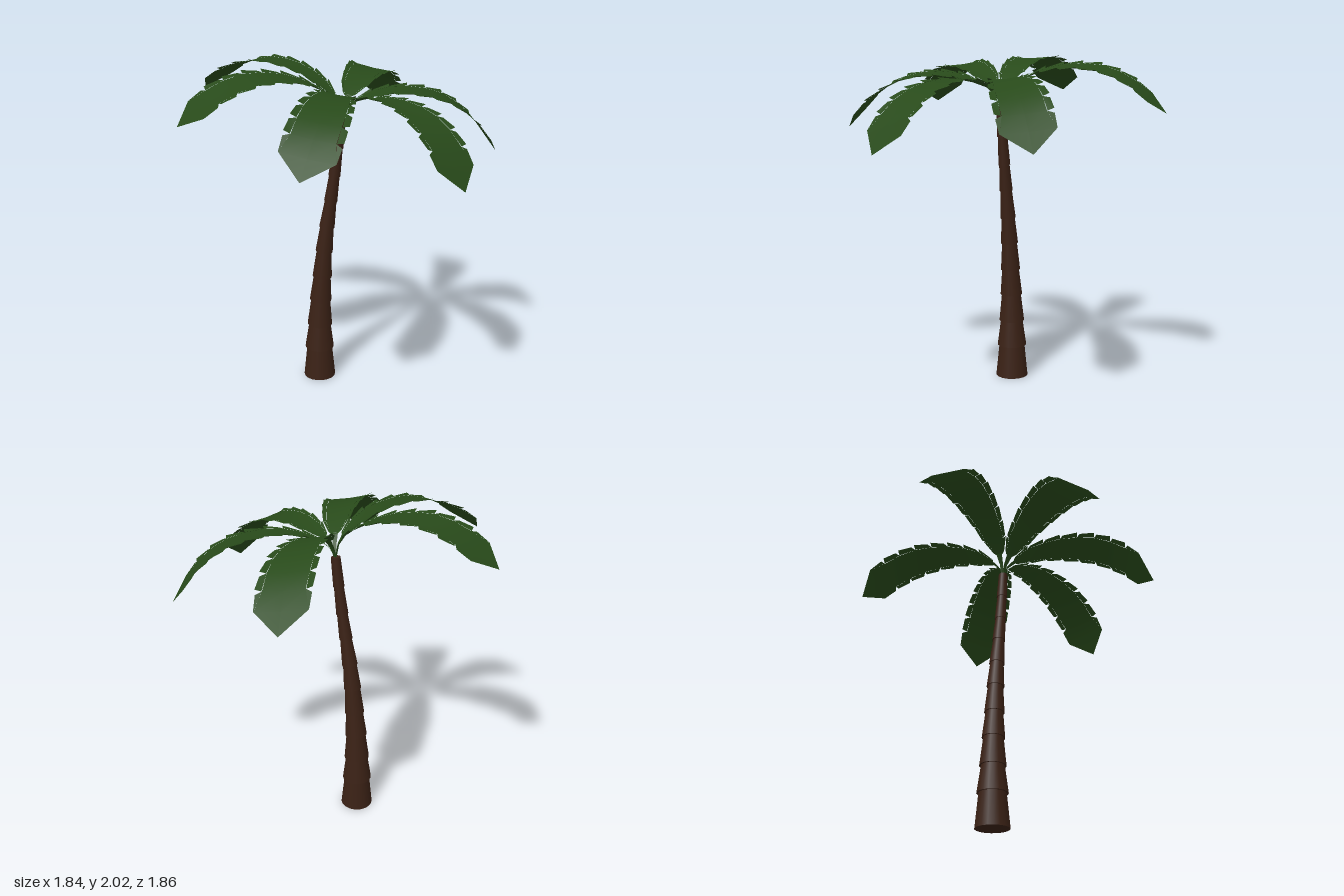
import * as THREE from 'three';

const bark = new THREE.MeshStandardMaterial({ color: 0x3a2115 });
const leaf = new THREE.MeshStandardMaterial({ color: 0x284a1a, side: THREE.DoubleSide });

// Trunk: overlapping tapered rings following a leaning path; each row is [x, y, radius]
function makeTrunk() {
  const trunk = new THREE.Group();
  trunk.name = 'trunk';
  const rings = [
    [-0.12, 0, 0.1], [-0.12, 0.2, 0.091], [-0.117, 0.36, 0.078], [-0.11, 0.53, 0.068],
    [-0.098, 0.69, 0.06], [-0.083, 0.86, 0.053], [-0.063, 1.02, 0.047], [-0.036, 1.19, 0.04],
    [-0.011, 1.35, 0.036], [0.012, 1.52, 0.033], [0.032, 1.695, 0.031],
  ];
  for (let i = 0; i < rings.length - 1; i++) {
    const [x0, y0, r0] = rings[i];
    const [x1, y1, r1] = rings[i + 1];
    const dir = new THREE.Vector3(x1 - x0, y1 - y0, 0);
    const top = i === rings.length - 2 ? r1 * 0.9 : r1 * 0.87;
    const ring = new THREE.Mesh(new THREE.CylinderGeometry(top, r0, dir.length() + 0.004, 18), bark);
    ring.position.set((x0 + x1) / 2, (y0 + y1) / 2 + 0.002, 0.013);
    ring.quaternion.setFromUnitVectors(new THREE.Vector3(0, 1, 0), dir.normalize());
    ring.name = 'trunkRing';
    trunk.add(ring);
  }
  return trunk;
}

// Frond pointing along +x: stem, two rows of blade strips, slit teeth along the edges, pointed end
function makeFrondGeometry() {
  const pos = [];
  const index = [];
  const vert = (x, y, z) => pos.push(x, y, z) / 3 - 1;
  const quad = (a, b, c, d) => index.push(a, b, c, a, c, d);

  // x = reach, y = height, z = half width
  const curve = new THREE.CatmullRomCurve3([
    [0.07, 0.012, 0.03], [0.14, 0.05, 0.072], [0.22, 0.083, 0.09], [0.333, 0.107, 0.113],
    [0.495, 0.108, 0.135], [0.617, 0.083, 0.147], [0.76, 0.01, 0.153], [0.87, -0.085, 0.145],
  ].map((p) => new THREE.Vector3(...p)));
  const rows = curve.getSpacedPoints(8);
  const end = rows.length - 1;

  // Blade
  const cols = [-0.76, 0, 0.76];
  const grid = rows.map((p, i) => cols.map((c) =>
    vert(p.x, p.y + Math.abs(c) * 0.006, p.z * (i === end && c ? Math.sign(c) : c))));
  for (let i = 0; i < end; i++) {
    for (let j = 0; j < 2; j++) quad(grid[i][j], grid[i][j + 1], grid[i + 1][j + 1], grid[i + 1][j]);
  }

  // Teeth, with a narrow wedge left open between neighbours
  for (const side of [-1, 1]) {
    for (let i = 0; i < end; i++) {
      const a = rows[i], b = rows[i + 1];
      const s = a.clone().lerp(b, 0.17);
      const k = i === end - 1 ? 1 : 0.78;
      const ids = [
        vert(a.x, a.y + 0.005, side * a.z * 0.76),
        vert(s.x, s.y + 0.006, side * s.z),
        vert(b.x, b.y + (i === end - 1 ? 0.005 : 0.016), side * b.z * 1.01),
        vert(b.x, b.y + 0.005, side * b.z * k),
      ];
      if (side < 0) ids.reverse();
      quad(...ids.reverse());
    }
  }

  // Pointed end
  const tip = vert(0.962, -0.178, 0);
  for (let j = 0; j < 2; j++) index.push(grid[end][j], grid[end][j + 1], tip);

  // Stem strip
  const stem = [[0, -0.11, 0.008], [0.03, -0.035, 0.011], [0.08, 0.02, 0.02]]
    .map(([x, y, w]) => [vert(x, y, -w), vert(x, y, w)]);
  for (let i = 0; i < 2; i++) quad(stem[i][0], stem[i][1], stem[i + 1][1], stem[i + 1][0]);

  const geo = new THREE.BufferGeometry();
  geo.setAttribute('position', new THREE.Float32BufferAttribute(pos, 3));
  geo.setIndex(index);
  geo.computeVertexNormals();
  return geo;
}

// Crown: six equal fronds around an axis that leans with the trunk
function makeCrown() {
  const crown = new THREE.Group();
  crown.name = 'crown';
  crown.position.set(0.05, 1.8, 0.01);
  crown.rotation.z = -0.19;
  const geo = makeFrondGeometry();
  for (const angle of [180, 126, 73, 19, -35, -101]) {
    const frond = new THREE.Mesh(geo, leaf);
    frond.rotation.y = -THREE.MathUtils.degToRad(angle);
    frond.name = 'frond';
    crown.add(frond);
  }
  return crown;
}

export function createModel() {
  const palm = new THREE.Group();
  palm.name = 'palmTree';
  palm.add(makeTrunk(), makeCrown());
  return palm;
}
